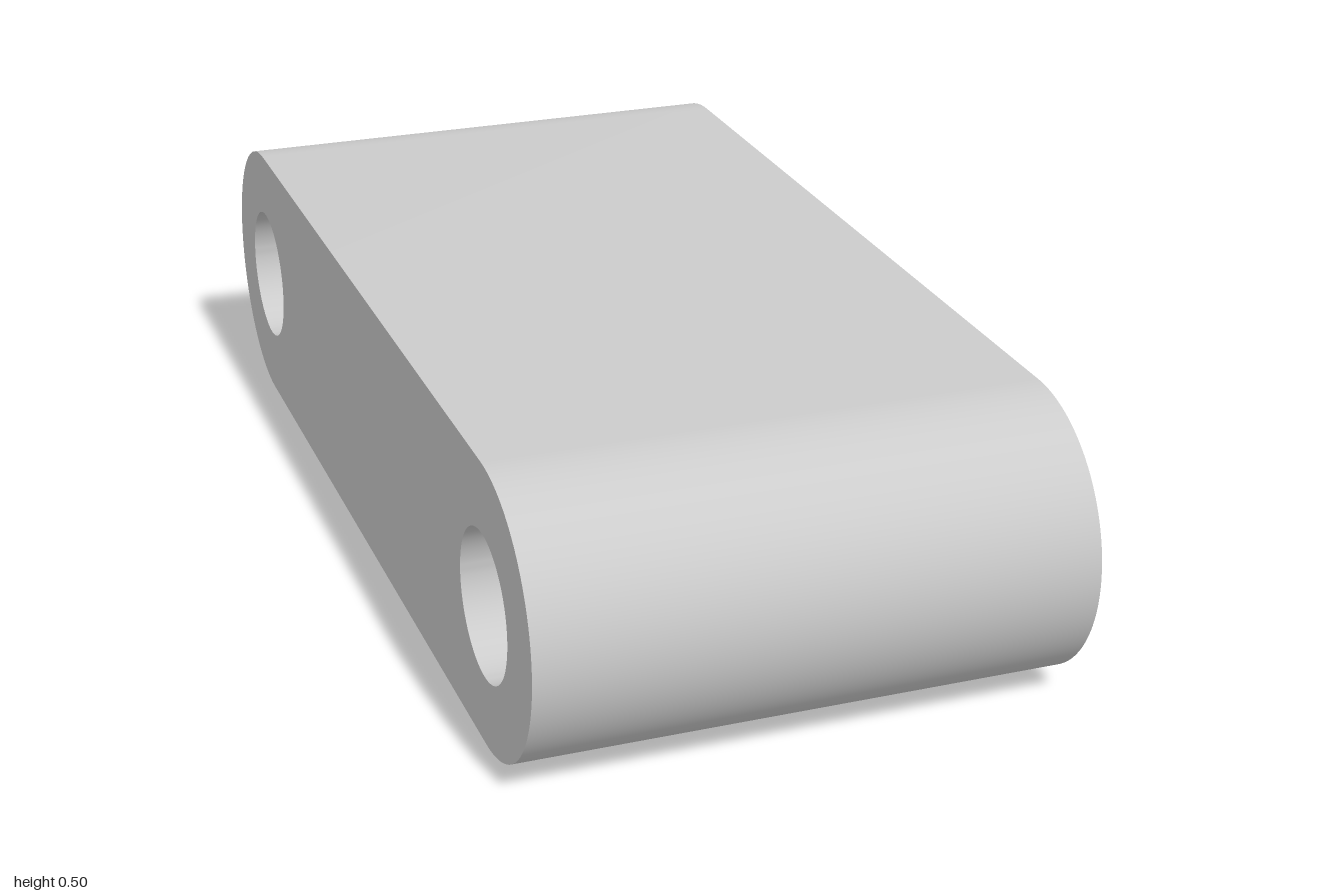
import * as THREE from 'three';
import { toCreasedNormals } from 'three/addons/utils/BufferGeometryUtils.js';

const WIDTH = 0.95;        // along x
const RADIUS = 0.25;       // rounded ends
const PIN_RADIUS = 0.127;  // through holes
const PIN_Z = 0.75;        // hole and end centres

export function createModel() {
  const group = new THREE.Group();
  group.name = 'linkBlock';

  // Side profile: a slot with rounded ends, concentric with the holes
  const profile = new THREE.Shape();
  profile.moveTo(-PIN_Z, 0);
  profile.lineTo(PIN_Z, 0);
  profile.absarc(PIN_Z, RADIUS, RADIUS, -Math.PI / 2, Math.PI / 2, false);
  profile.absarc(-PIN_Z, RADIUS, RADIUS, Math.PI / 2, Math.PI * 1.5, false);

  // Pin holes through both ends
  for (const side of [-1, 1]) {
    const hole = new THREE.Path();
    hole.absarc(side * PIN_Z, RADIUS, PIN_RADIUS, 0, Math.PI * 2, true);
    profile.holes.push(hole);
  }

  // Extrude across the width and turn the profile into the zy plane
  const geometry = new THREE.ExtrudeGeometry(profile, {
    depth: WIDTH, bevelEnabled: false, curveSegments: 40,
  });
  geometry.translate(0, 0, -WIDTH / 2);
  geometry.rotateY(-Math.PI / 2);

  const link = new THREE.Mesh(
    toCreasedNormals(geometry, 0.5),
    new THREE.MeshStandardMaterial({ color: 0xcccccc }),
  );
  link.name = 'linkBody';
  group.add(link);
  return group;
}
